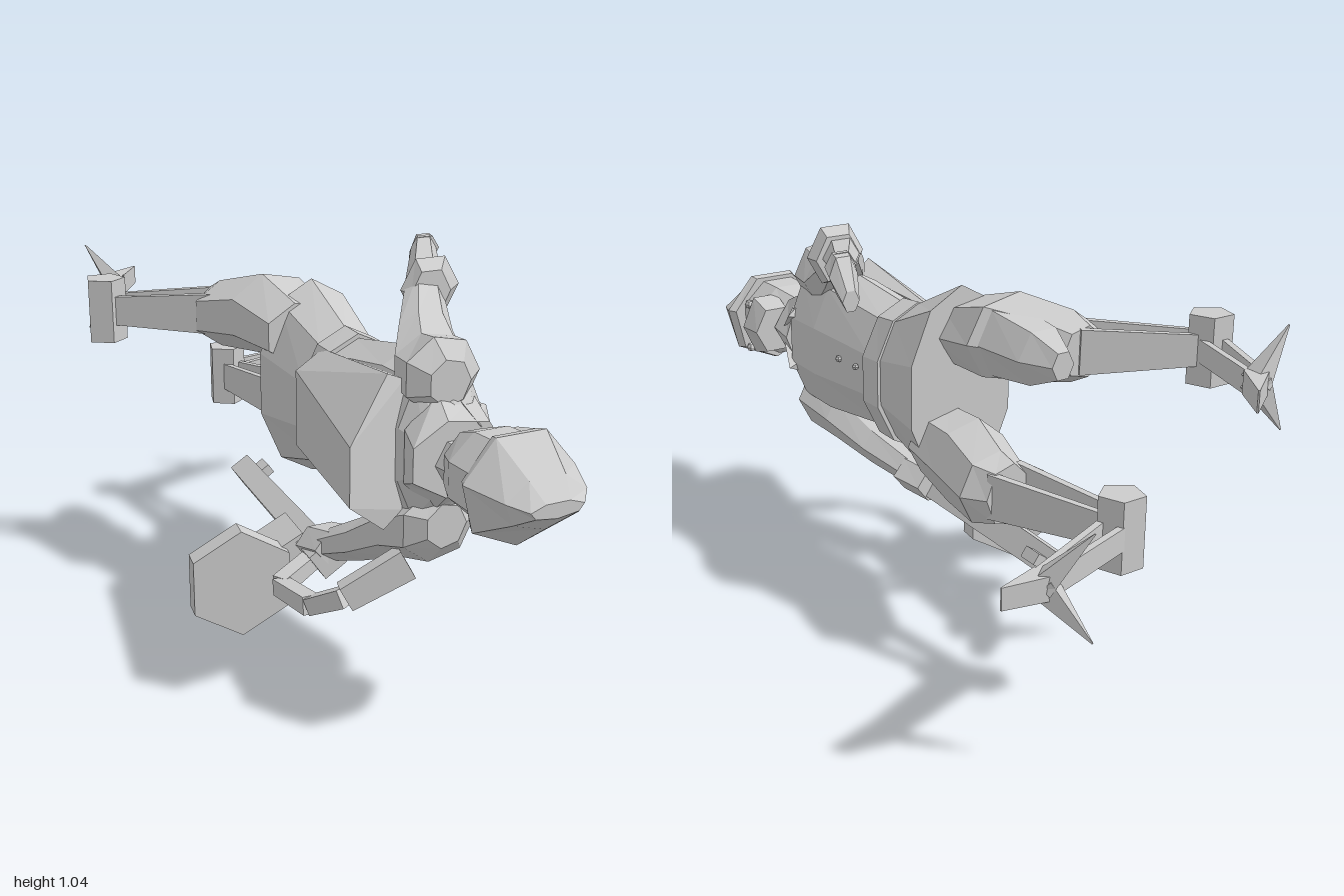
import * as THREE from 'three';
import { ConvexGeometry } from 'three/addons/geometries/ConvexGeometry.js';

const V = (p) => new THREE.Vector3(...p);

export function createModel() {
  const model = new THREE.Group();
  const mat = new THREE.MeshStandardMaterial({ color: 0xcccccc, flatShading: true, side: THREE.DoubleSide });

  function add(name, geo, pos = [0, 0, 0], rot = [0, 0, 0]) {
    const m = new THREE.Mesh(geo, mat);
    m.name = name;
    m.position.set(...pos);
    m.rotation.set(...rot);
    model.add(m);
    return m;
  }

  // Closed faceted body through elliptical rings [x, y, z, rx, ry], z descending
  function loft(name, rings, n = 8, turn = 0) {
    const out = [];
    const at = ([x, y, z, rx, ry], i) => {
      const a = ((i + turn) / n) * Math.PI * 2;
      return [x + rx * Math.cos(a), y + ry * Math.sin(a), z];
    };
    const first = rings[0], last = rings[rings.length - 1];
    for (let i = 0; i < n; i++) {
      for (let k = 0; k + 1 < rings.length; k++) {
        const a = at(rings[k], i), b = at(rings[k], i + 1);
        const c = at(rings[k + 1], i), d = at(rings[k + 1], i + 1);
        out.push(...a, ...c, ...b, ...b, ...c, ...d);
      }
      out.push(...first.slice(0, 3), ...at(first, i), ...at(first, i + 1));
      out.push(...last.slice(0, 3), ...at(last, i + 1), ...at(last, i));
    }
    const g = new THREE.BufferGeometry();
    g.setAttribute('position', new THREE.Float32BufferAttribute(out, 3));
    g.computeVertexNormals();
    add(name, g);
  }

  // Box from a to b whose width and height taper, rolled about its length
  function beam(name, a, b, w0, h0, w1 = w0, h1 = h0, roll = 0) {
    const len = V(a).distanceTo(V(b));
    const g = new THREE.BoxGeometry(1, 1, 1);
    const p = g.attributes.position;
    for (let i = 0; i < p.count; i++) {
      const t = p.getZ(i) + 0.5;
      p.setXYZ(i, p.getX(i) * (w0 + (w1 - w0) * t), p.getY(i) * (h0 + (h1 - h0) * t), t * len);
    }
    g.computeVertexNormals();
    const m = add(name, g, a);
    m.lookAt(V(b));
    m.rotateZ(roll);
  }

  // Torso, belt and coat skirt
  loft('torso', [
    [0.03, 0.64, 0.59, 0.09, 0.12], [0.03, 0.64, 0.53, 0.13, 0.22], [0.03, 0.64, 0.38, 0.14, 0.225],
    [0.02, 0.63, 0.11, 0.13, 0.19],
  ], 10, 0.5);
  loft('belt', [[0.02, 0.625, 0.125, 0.145, 0.21], [0.02, 0.625, 0.05, 0.145, 0.215]], 10, 0.5);
  loft('coatSkirt', [[0.02, 0.63, 0.05, 0.135, 0.205], [0.02, 0.645, -0.15, 0.17, 0.285]], 10, 0.5);
  for (const z of [0.16, 0.25]) add('button', new THREE.SphereGeometry(0.01, 6, 4), [0.16, 0.65, z]);

  // Wedge pack on the back
  add('backpack', new ConvexGeometry([
    [-0.28, 0.57, 0.63], [-0.28, 0.72, 0.63], [-0.125, 0.85, 0.53], [-0.13, 0.45, 0.53],
    [-0.06, 0.82, 0.5], [-0.06, 0.48, 0.5], [-0.14, 0.53, 0.07], [-0.14, 0.74, 0.07],
    [-0.06, 0.48, 0.07], [-0.06, 0.79, 0.07],
  ].map(V)));

  // Collar with two pointed lapels, neck
  loft('collar', [[0.01, 0.65, 0.64, 0.14, 0.1], [0.03, 0.64, 0.55, 0.13, 0.16]], 7);
  for (const s of [-1, 1]) {
    add('lapel', new ConvexGeometry([
      [0.14, 0.64 + s * 0.02, 0.6], [0.06, 0.64 + s * 0.09, 0.65], [0.05, 0.64 + s * 0.14, 0.56],
      [0.18, 0.64 + s * 0.08, 0.5], [0.1, 0.64 + s * 0.06, 0.52],
    ].map(V)));
  }
  loft('neck', [[0.01, 0.64, 0.7, 0.06, 0.06], [0.01, 0.64, 0.58, 0.07, 0.07]], 6);

  // Head, jaw guard, eyes and ridged helmet
  loft('head', [
    [0.04, 0.64, 0.84, 0.13, 0.12], [0.04, 0.64, 0.73, 0.125, 0.115], [0.03, 0.64, 0.66, 0.08, 0.09],
  ], 8, 0.5);
  loft('jawGuard', [[0.13, 0.64, 0.73, 0.08, 0.1], [0.14, 0.64, 0.645, 0.07, 0.075]], 6);
  loft('helmet', [
    [0.045, 0.635, 0.99, 0.075, 0.02], [0.05, 0.635, 0.94, 0.115, 0.065], [0.05, 0.635, 0.835, 0.16, 0.145],
    [0.05, 0.635, 0.81, 0.145, 0.14],
  ], 7, 0.25);
  for (const y of [0.55, 0.69]) add('eye', new THREE.SphereGeometry(0.014, 6, 4), [0.155, y, 0.79]);

  // Raised arm
  loft('raisedUpperArm', [
    [0.02, 0.82, 0.58, 0.06, 0.06], [0.02, 0.83, 0.54, 0.11, 0.1], [0.04, 0.83, 0.45, 0.11, 0.085],
    [0.08, 0.88, 0.36, 0.085, 0.065], [0.165, 0.955, 0.21, 0.06, 0.055],
  ], 7);
  loft('raisedElbowCuff', [
    [0.16, 0.96, 0.26, 0.06, 0.065], [0.18, 0.965, 0.22, 0.09, 0.09], [0.2, 0.965, 0.17, 0.07, 0.07],
  ], 6);
  loft('raisedForearm', [[0.18, 0.965, 0.19, 0.06, 0.055], [0.33, 1.01, -0.06, 0.04, 0.035]], 6);
  loft('raisedHand', [
    [0.325, 1.005, -0.04, 0.045, 0.04], [0.345, 0.99, -0.09, 0.042, 0.055], [0.355, 0.935, -0.14, 0.025, 0.03],
  ], 6);

  // Lowered arm holding the weapon, with a flat strap on the outside
  loft('loweredUpperArm', [
    [0.02, 0.45, 0.58, 0.06, 0.06], [0.02, 0.44, 0.54, 0.11, 0.1], [0.0, 0.4, 0.43, 0.1, 0.085],
    [-0.04, 0.33, 0.31, 0.085, 0.065], [-0.08, 0.27, 0.18, 0.06, 0.05],
  ], 7);
  loft('loweredElbowCuff', [[-0.07, 0.27, 0.2, 0.08, 0.055], [-0.09, 0.255, 0.11, 0.075, 0.055]], 6);
  const strap = [[-0.05, 0.34, 0.51], [-0.2, 0.255, 0.46], [-0.25, 0.205, 0.37], [-0.25, 0.185, 0.19], [-0.13, 0.21, 0.13]];
  for (let i = 0; i + 1 < strap.length; i++) {
    beam('strap', strap[i], strap[i + 1], 0.045, i ? 0.05 : 0.085, 0.045, i ? 0.045 : 0.07);
  }

  // Weapon: long rolled body, sight, side bracket and six-sided drum
  beam('weaponBody', [-0.11, 0.235, 0.2], [-0.025, 0.243, -0.53], 0.075, 0.085, 0.065, 0.07, -0.6);
  beam('weaponSight', [0.006, 0.262, -0.43], [0.012, 0.262, -0.49], 0.032, 0.032, 0.032, 0.032, -0.6);
  add('weaponBracket', new THREE.BoxGeometry(0.14, 0.06, 0.16), [-0.165, 0.215, 0.0], [0, -0.15, 0.5]);
  add('drum', new THREE.CylinderGeometry(0.155, 0.155, 0.065, 6).rotateX(Math.PI / 2), [-0.305, 0.155, 0.045], [0, -0.2, 0]);

  // Thighs with faceted knee guards
  loft('upperThigh', [
    [-0.03, 0.79, -0.1, 0.12, 0.09], [-0.04, 0.81, -0.28, 0.14, 0.12], [-0.125, 0.795, -0.4, 0.115, 0.1],
    [-0.14, 0.795, -0.46, 0.07, 0.07],
  ], 7);
  loft('upperKneeGuard', [
    [-0.01, 0.81, -0.3, 0.09, 0.1], [-0.02, 0.8, -0.44, 0.08, 0.08], [-0.01, 0.8, -0.53, 0.035, 0.04],
  ], 6);
  loft('lowerThigh', [
    [0.05, 0.49, -0.1, 0.11, 0.1], [0.07, 0.48, -0.26, 0.12, 0.12], [0.125, 0.475, -0.43, 0.105, 0.1],
    [0.12, 0.475, -0.49, 0.07, 0.085],
  ], 7);

  // Mechanical legs: paired struts, five-sided joint, paired shin bars, clawed foot
  function mechLeg(name, from, joint, hub, toe, claws, sideOffset) {
    const off = (p, d, k) => [p[0] + d.x * k, p[1], p[2] + d.z * k];
    const side = (a, b) => V(b).sub(V(a)).cross(new THREE.Vector3(0, 1, 0)).normalize();
    const s1 = side(from, joint), s2 = side(joint, hub);
    for (const s of [-1, 1]) {
      beam(name + 'Strut', off(from, s1, s * sideOffset), off(joint, s1, s * 0.022), 0.022, 0.12, 0.018, 0.08);
      beam(name + 'Shin', off(joint, s2, s * 0.03), off(hub, s2, s * 0.015), 0.018, 0.06);
    }
    add(name + 'Joint', new THREE.CylinderGeometry(0.06, 0.06, 0.185, 5), joint);
    beam(name + 'Toe', hub, toe, 0.06, 0.06, 0.004, 0.055);
    for (const c of claws) beam(name + 'Claw', hub, c, 0.055, 0.055, 0.003, 0.003);
  }
  mechLeg('upperLeg', [-0.15, 0.8, -0.42], [-0.43, 0.795, -0.61], [-0.3, 0.8, -0.89], [-0.2, 0.8, -0.99],
    [[-0.39, 0.93, -0.9], [-0.39, 0.665, -0.9]], 0.05);
  mechLeg('lowerLeg', [0.115, 0.48, -0.46], [0.04, 0.48, -0.81], [0.36, 0.473, -0.915], [0.48, 0.473, -0.92],
    [[0.29, 0.605, -1.0], [0.285, 0.34, -1.0]], 0.055);

  return model;
}
